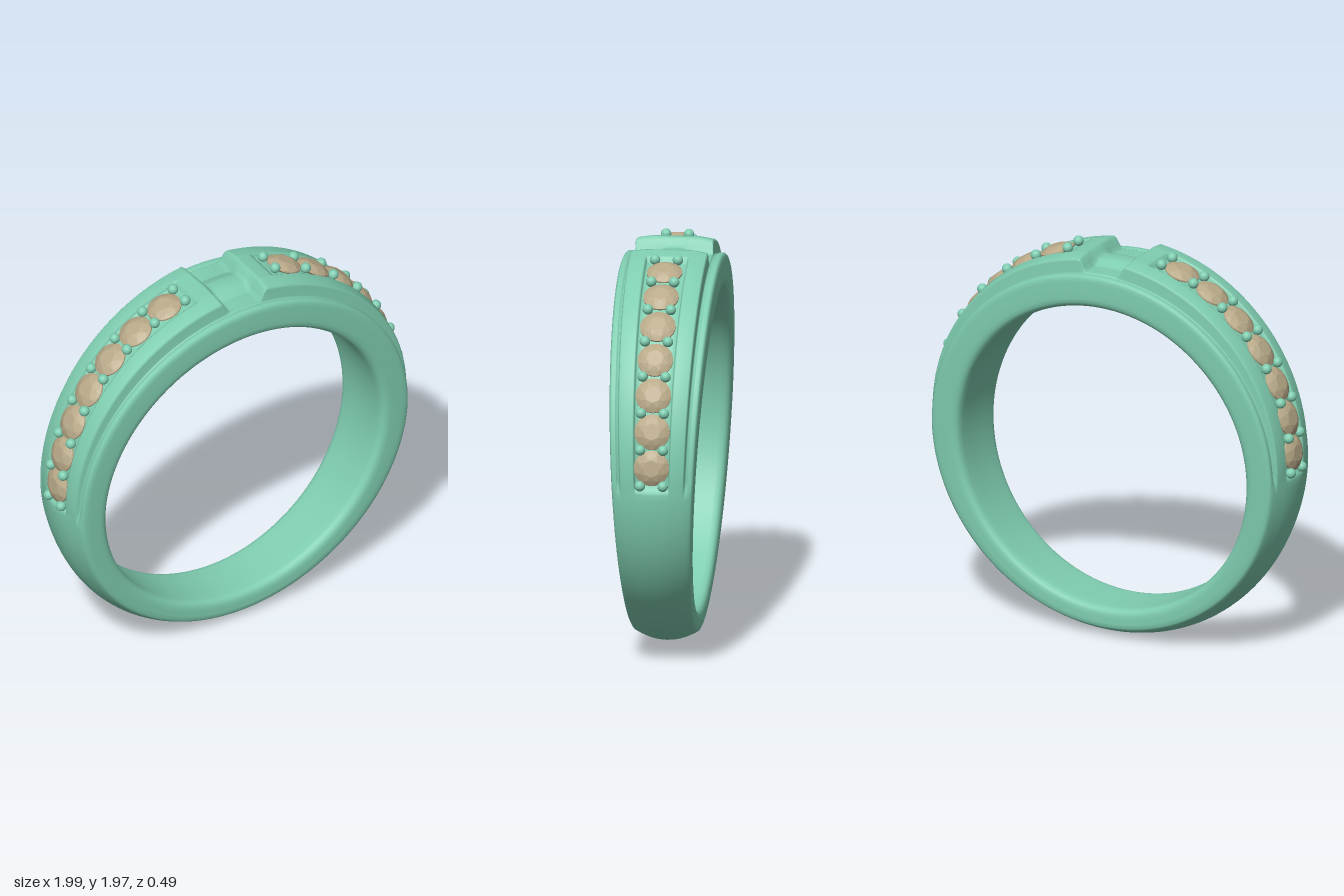
import * as THREE from 'three';
import { ConvexGeometry } from 'three/addons/geometries/ConvexGeometry.js';

const CY = 0.935; // height of the ring's centre
const rad = THREE.MathUtils.degToRad;
const smooth = THREE.MathUtils.smoothstep;
const mix = THREE.MathUtils.lerp;
const raisedRadius = (deg) => 0.96 + 0.073 * Math.sin(rad(deg));

// Half cross-section at an angle (90 = top), as [z, r] from bore centre to outer centre
function halfSection(deg) {
  const s = Math.sin(rad(deg));
  const w = 0.153 + 0.05 * (CY + 0.9 * s);
  // fold both sides of the ring onto -90..90
  const fold = Math.asin(THREE.MathUtils.clamp(s, -1, 1)) * 180 / Math.PI;
  const upper = smooth(fold, -1.5, 4);
  const gap = smooth(fold, 82.8, 84.9);
  const recess = smooth(fold, 0.5, 2) * (1 - smooth(fold, 77, 78.2));
  const crown = 0.97 + 0.035 * s, edge = 0.93 + 0.045 * s;
  const rail = 0.935 + 0.02 * s, R = raisedRadius(deg);

  const pts = [[0, 0.785], [0.4, 0.785], [0.75, 0.785], [0.88, 0.79], [0.95, 0.8],
    [0.99, 0.815], [1, 0.835], [1, 0.865]].map(([u, r]) => [u * w, r]);
  // rounded outer corner and side rail
  for (const [u, d] of [[1, 0.035], [0.993, 0.018], [0.975, 0.006], [0.945, 0], [0.87, 0], [0.85, 0.003], [0.83, 0.008], [0.8, 0.008]]) {
    const plain = edge + (crown - edge) * (1 - u * u) - (u > 0.94 ? d : 0);
    pts.push([u * w, mix(plain, rail - d, upper)]);
  }
  // step, raised band and stone channel
  for (const [u, d, c] of [[0.785, null, 0], [0.778, 0.025, 0], [0.77, 0.016, 0], [0.745, 0.011, 0], [0.6, 0.005, 0],
    [0.45, 0, 0], [0.425, 0, 0.1], [0.41, 0, 0.5], [0.395, 0, 1], [0.3, 0, 1], [0.2, 0, 1], [0.1, 0, 1], [0, 0, 1]]) {
    const plain = edge + (crown - edge) * (1 - u * u);
    const raised = d === null ? rail : R - d - 0.025 * c * recess;
    const floor = rail + 0.028 * (1 - smooth(u * w, 0.03, 0.1));
    pts.push([u * w, mix(plain, mix(raised, floor, gap), upper)]);
  }
  return pts;
}

// Sweep the changing section around the ring
function bandGeometry(steps = 600) {
  const pos = [], index = [];
  let n = 0;
  for (let i = 0; i < steps; i++) {
    const deg = i * 360 / steps, a = rad(deg);
    const half = halfSection(deg);
    const loop = [...half, ...half.slice(1, -1).reverse().map(([z, r]) => [-z, r])];
    n = loop.length;
    for (const [z, r] of loop) pos.push(r * Math.cos(a), CY + r * Math.sin(a), z);
  }
  for (let i = 0; i < steps; i++) {
    const p = i * n, q = ((i + 1) % steps) * n;
    for (let j = 0; j < n; j++) {
      const k = (j + 1) % n;
      index.push(p + j, p + k, q + j, p + k, q + k, q + j);
    }
  }
  const g = new THREE.BufferGeometry();
  g.setAttribute('position', new THREE.Float32BufferAttribute(pos, 3));
  g.setIndex(index);
  g.computeVertexNormals();
  return g;
}

// Round faceted stone, crown towards +y
function stoneGeometry() {
  const pts = [new THREE.Vector3(0, -0.06, 0)];
  const ring = (r, y, n, turn) => {
    for (let i = 0; i < n; i++) {
      const a = (i + turn) / n * Math.PI * 2;
      pts.push(new THREE.Vector3(r * Math.cos(a), y, r * Math.sin(a)));
    }
  };
  ring(0.087, -0.008, 24, 0);
  ring(0.087, 0, 24, 0);
  ring(0.068, 0.014, 8, 0.5);
  ring(0.042, 0.024, 8, 0);
  return new ConvexGeometry(pts);
}

export function createModel() {
  const model = new THREE.Group();
  model.name = 'ring';
  const metal = new THREE.MeshStandardMaterial({ color: 0x7fcdb0 });
  const gem = new THREE.MeshStandardMaterial({ color: 0xb8a988, flatShading: true });

  const band = new THREE.Mesh(bandGeometry(), metal);
  band.name = 'band';
  model.add(band);

  const stoneGeo = stoneGeometry();
  const beadGeo = new THREE.SphereGeometry(0.026, 16, 12);
  const place = (geo, mat, name, parent, deg, r, z) => {
    const m = new THREE.Mesh(geo, mat);
    m.name = name;
    m.position.set(r * Math.cos(rad(deg)), CY + r * Math.sin(rad(deg)), z);
    m.rotation.z = rad(deg - 90);
    parent.add(m);
  };

  // Seven stones and eight pairs of holding beads on each shoulder
  for (const side of ['left', 'right']) {
    const row = new THREE.Group();
    row.name = side + 'StoneRow';
    const turn = (deg) => (side === 'left' ? deg : 180 - deg);
    for (let i = 0; i < 8; i++) {
      const stone = 8 + 10.4 * i, bead = stone - 5.2;
      if (i < 7) place(stoneGeo, gem, 'stone', row, turn(stone), raisedRadius(stone) - 0.003, 0);
      for (const z of [-0.056, 0.056]) place(beadGeo, metal, 'bead', row, turn(bead), raisedRadius(bead) + 0.008, z);
    }
    model.add(row);
  }
  return model;
}
